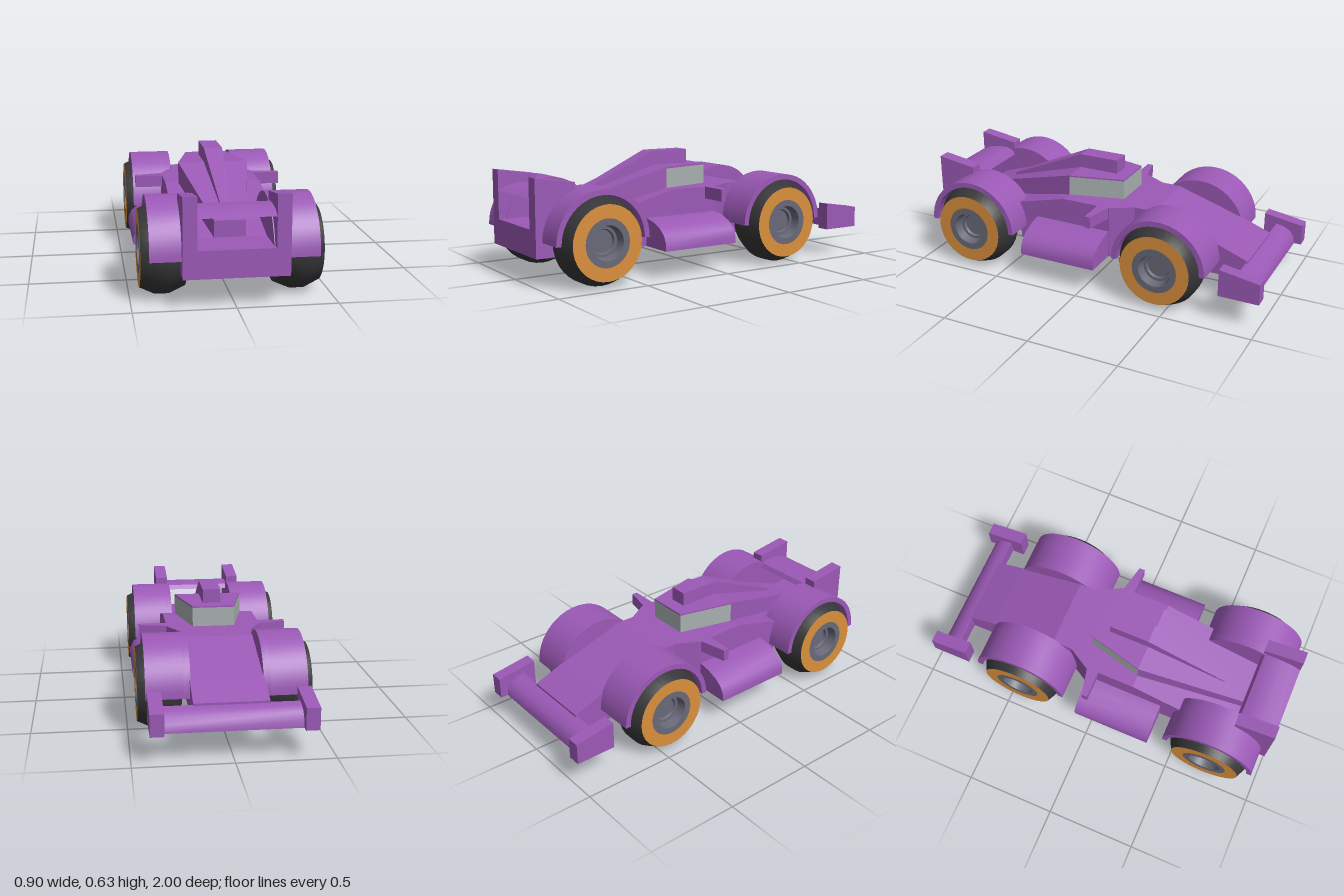
import * as THREE from 'three';
import { toCreasedNormals } from 'three/addons/utils/BufferGeometryUtils.js';

const mat = (name, color) => {
  const m = new THREE.MeshStandardMaterial({ color });
  m.name = name;
  return m;
};

// Rectangular cross-sections [z, halfWidth, bottom, top] joined along z
function loft(sections) {
  const rings = sections.map(([z, w, y0, y1]) => [[-w, y0, z], [w, y0, z], [w, y1, z], [-w, y1, z]]);
  const pos = [];
  const quad = (a, b, c, d) => pos.push(...a, ...b, ...c, ...a, ...c, ...d);
  for (let k = 0; k < rings.length - 1; k++) {
    const a = rings[k], b = rings[k + 1];
    for (let i = 0; i < 4; i++) {
      const j = (i + 1) % 4;
      quad(a[i], a[j], b[j], b[i]);
    }
  }
  const first = rings[0], last = rings[rings.length - 1];
  quad(first[3], first[2], first[1], first[0]);
  quad(last[0], last[1], last[2], last[3]);
  const g = new THREE.BufferGeometry();
  g.setAttribute('position', new THREE.Float32BufferAttribute(pos, 3));
  g.computeVertexNormals();
  return g;
}

const shapeOf = (pts) => new THREE.Shape(pts.map(([x, y]) => new THREE.Vector2(x, y)));
const extrude = (pts, depth) =>
  new THREE.ExtrudeGeometry(shapeOf(pts), { depth, bevelEnabled: false });

// Side profile of [z, y] points extruded from x0 to x1
const extrudeX = (pts, x0, x1) =>
  extrude(pts.map(([z, y]) => [-z, y]), x1 - x0).rotateY(Math.PI / 2).translate(x0, 0, 0);

// Points along a half circle in the z-y plane
function arc(cz, cy, r, from, to, n = 24) {
  return Array.from({ length: n + 1 }, (_, i) => {
    const t = from + ((to - from) * i) / n;
    return [cz + r * Math.cos(t), cy + r * Math.sin(t)];
  });
}

export function createModel() {
  const purple = mat('purple paint', 0x9b59b6);
  const glass = mat('grey glass', 0xa9b0b0);
  const rubber = mat('black rubber', 0x363638);
  const orange = mat('orange wheel ring', 0xd98f3c);
  const steel = mat('slate rim', 0x686878);

  const car = new THREE.Group();
  car.name = 'raceCar';
  const add = (name, geo, material, parent = car) => {
    const m = new THREE.Mesh(geo, material);
    m.name = name;
    parent.add(m);
    return m;
  };
  // Spans between x0 and x1 on the given side
  const sideX = (pts, s, x0, x1) => (s > 0 ? extrudeX(pts, x0, x1) : extrudeX(pts, -x1, -x0));

  // Main hull from the low nose to the tail
  add('hull', loft([
    [-0.86, 0.19, 0.15, 0.26], [-0.70, 0.19, 0.15, 0.32], [-0.32, 0.19, 0.15, 0.44],
    [-0.21, 0.19, 0.15, 0.44], [-0.09, 0.26, 0.15, 0.44], [0.19, 0.26, 0.15, 0.44],
    [0.47, 0.26, 0.15, 0.368], [0.47, 0.19, 0.15, 0.368], [0.775, 0.19, 0.15, 0.29],
    [0.775, 0.26, 0.15, 0.29], [1, 0.26, 0.15, 0.29],
  ]), purple);

  // Cockpit: windscreen band, roof and tapering engine cover
  add('windscreen', loft([[-0.11, 0.115, 0.43, 0.545], [0.19, 0.19, 0.43, 0.545]]), glass);
  add('cockpitRoof', loft([[-0.11, 0.115, 0.545, 0.553], [0.19, 0.19, 0.545, 0.553]]), purple);
  add('engineCover', loft([[0.19, 0.19, 0.42, 0.553], [0.775, 0.08, 0.27, 0.375]]), purple);
  add('airIntake', loft([
    [-0.035, 0.05, 0.54, 0.63], [0.19, 0.05, 0.54, 0.63], [0.64, 0.028, 0.39, 0.428],
  ]), purple);

  // Wings
  const rearFoil = [[0.775, 0.445], [0.79, 0.47], [0.83, 0.48], [0.89, 0.479], [0.95, 0.468], [1, 0.445]];
  add('rearWing', toCreasedNormals(extrudeX(rearFoil, -0.19, 0.19), 0.7), purple);
  const frontFoil = [[-0.85, 0.15], [-0.85, 0.25], [-0.89, 0.243], [-0.93, 0.222], [-0.955, 0.19], [-0.96, 0.15]];
  add('frontWing', toCreasedNormals(extrudeX(frontFoil, -0.34, 0.34), 0.7), purple);

  // Wheel profiles: [radius, distance from the centreline]
  const wheelParts = [
    ['tyre', rubber, [[0, 0.225], [0.195, 0.225], [0.23, 0.305], [0.23, 0.375], [0.195, 0.45]]],
    ['wheelRing', orange, [[0.195, 0.45], [0.125, 0.45]]],
    ['rim', steel, [[0.125, 0.45], [0.09, 0.45], [0.08, 0.40], [0.065, 0.40], [0.06, 0.385], [0, 0.385]]],
  ];

  for (const s of [1, -1]) {
    const side = s > 0 ? 'left' : 'right';

    add(side + 'RearEndplate',
      sideX([[0.78, 0.15], [1, 0.15], [1, 0.553], [0.78, 0.52]], s, 0.19, 0.26), purple);
    add(side + 'FrontEndplate',
      sideX([[-1, 0.15], [-0.78, 0.15], [-0.78, 0.30], [-1, 0.265]], s, 0.34, 0.41), purple);

    // Rounded side pod
    const pod = [[0.25, 0.15], [0.25, 0.301], [0.26, 0.30], [0.33, 0.287], [0.39, 0.262], [0.43, 0.23], [0.45, 0.19], [0.45, 0.15]];
    add(side + 'SidePod',
      toCreasedNormals(extrude(pod.map(([x, y]) => [s * x, y]), 0.445).translate(0, 0, -0.085), 0.7), purple);

    // Tapered mirror arm
    const mirror = [[0.25, -0.085], [0.41, -0.05], [0.41, -0.018], [0.25, -0.018]];
    add(side + 'Mirror',
      extrude(mirror.map(([x, z]) => [s * x, -z]), 0.065).rotateX(-Math.PI / 2).translate(0, 0.375, 0), purple);

    for (const [end, cz] of [['Rear', 0.70], ['Front', -0.44]]) {
      // Open arch with an inner wall
      const outer = arc(cz, 0.23, 0.265, 0, Math.PI);
      const arch = [...outer, ...arc(cz, 0.23, 0.236, Math.PI, 0)];
      add(side + end + 'Fender', toCreasedNormals(sideX(arch, s, 0.22, 0.413), 0.6), purple);
      add(side + end + 'FenderWall', toCreasedNormals(sideX(outer, s, 0.185, 0.22), 0.6), purple);

      const wheel = new THREE.Group();
      wheel.name = side + end + 'Wheel';
      wheel.position.set(0, 0.23, cz);
      for (const [name, material, pts] of wheelParts) {
        const g = new THREE.LatheGeometry(pts.map(([r, h]) => new THREE.Vector2(r, h)), 36);
        add(name, toCreasedNormals(g.rotateZ((-s * Math.PI) / 2), 0.6), material, wheel);
      }
      car.add(wheel);
    }
  }
  return car;
}
